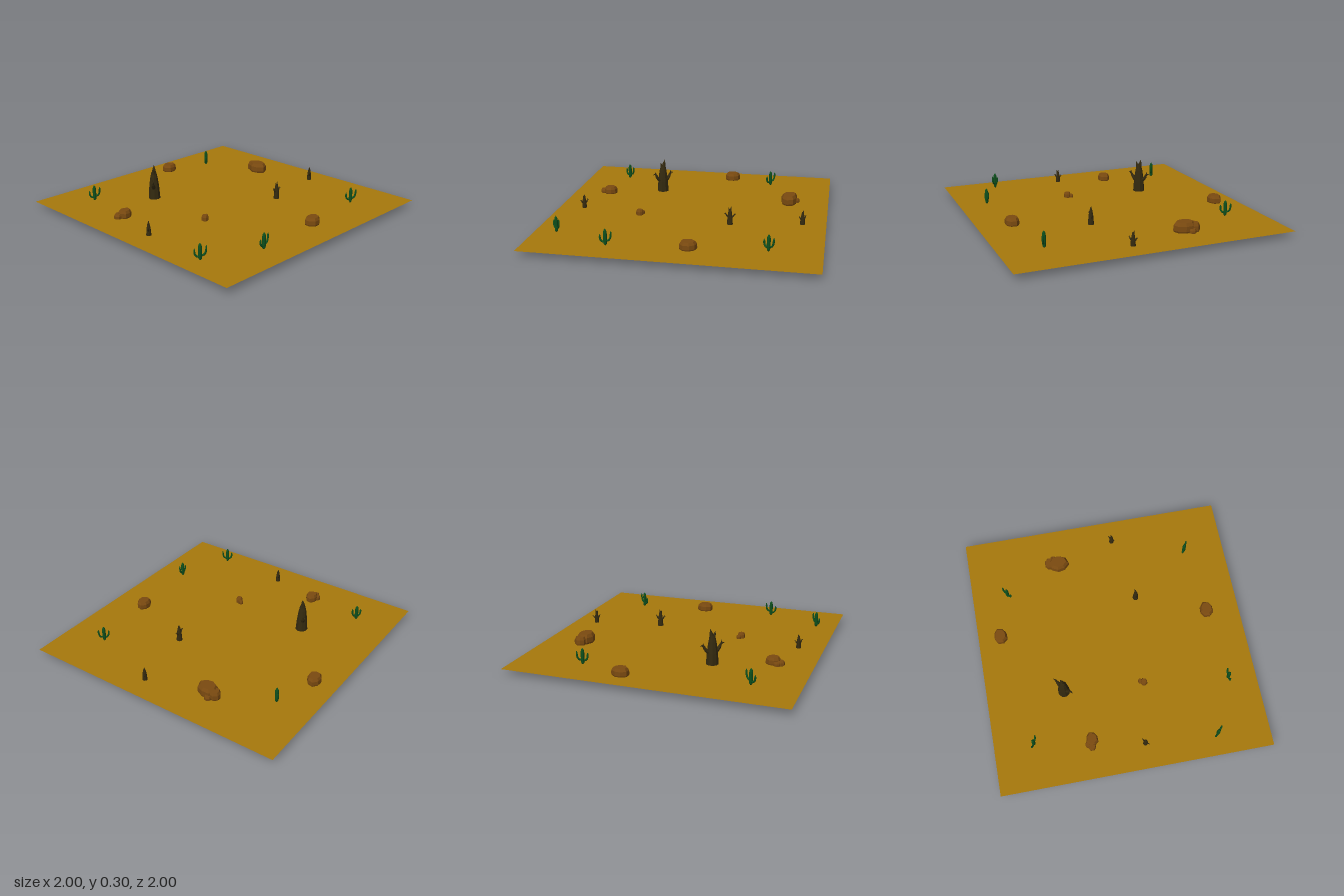
import * as THREE from 'three';

const mat = (color, extra = {}) =>
  new THREE.MeshStandardMaterial({ color, flatShading: true, ...extra });
const sand = mat(0xa6780c, { side: THREE.DoubleSide });
const stone = mat(0x7a4a10);
const bark = mat(0x33290f);
const green = mat(0x0d4f1c);

// Limb that follows points, with one radius for each evenly spaced ring
function limb(name, points, radii, sides, material) {
  const curve = new THREE.CatmullRomCurve3(points.map(p => new THREE.Vector3(...p)));
  const segs = radii.length - 1;
  const geo = new THREE.TubeGeometry(curve, segs, 1, sides);
  const pos = geo.attributes.position;
  const v = new THREE.Vector3();
  for (let i = 0; i <= segs; i++) {
    const c = curve.getPointAt(i / segs);
    for (let j = 0; j <= sides; j++) {
      const k = i * (sides + 1) + j;
      v.fromBufferAttribute(pos, k).sub(c).multiplyScalar(radii[i]).add(c);
      pos.setXYZ(k, v.x, v.y, v.z);
    }
  }
  geo.computeVertexNormals();
  const mesh = new THREE.Mesh(geo, material);
  mesh.name = name;
  return mesh;
}

// Cactus: stem with two upturned arms
function cactus(x, z, degrees) {
  const g = new THREE.Group();
  g.name = 'cactus';
  const arm = [0.006, 0.007, 0.007, 0.007, 0.007, 0.007, 0.006, 0];
  g.add(
    limb('cactusStem', [[0, 0, 0], [0, 0.06, 0], [0, 0.122, 0]],
      [0, 0.011, 0.012, 0.013, 0.013, 0.013, 0.013, 0.013, 0.012, 0.009, 0], 8, green),
    limb('cactusRightArm', [[0, 0.035, 0], [0.024, 0.04, 0], [0.036, 0.058, 0], [0.041, 0.107, 0]], arm, 6, green),
    limb('cactusLeftArm', [[0, 0.026, 0], [-0.022, 0.03, 0], [-0.034, 0.046, 0], [-0.036, 0.083, 0]], arm, 6, green));
  g.position.set(x, 0.04, z);
  g.rotation.y = THREE.MathUtils.degToRad(degrees);
  return g;
}

// Dead tree: broad trunk, splintered top and two forked branches
function deadTree(x, y, z, scale, degrees) {
  const g = new THREE.Group();
  g.name = 'deadTree';
  g.add(
    limb('trunk', [[0, 0, 0], [0, 0.1, 0], [0, 0.25, 0]],
      [0.048, 0.045, 0.042, 0.039, 0.034, 0.028, 0.018], 9, bark),
    limb('topSplinter', [[0, 0.2, 0], [0.006, 0.25, 0], [0.018, 0.3, 0]], [0.026, 0.019, 0.011, 0], 6, bark),
    limb('topSplinter', [[0, 0.2, 0], [-0.012, 0.245, 0], [-0.024, 0.282, 0]], [0.022, 0.016, 0.009, 0], 6, bark));
  for (const s of [-1, 1]) {
    const h = s > 0 ? 0 : 0.004;
    g.add(
      limb('branch', [[0, 0.115, 0], [s * 0.045, 0.145 + h, 0], [s * 0.064, 0.175 + h, 0], [s * 0.07, 0.205 + h, 0]],
        [0.022, 0.019, 0.015, 0.011, 0.006, 0], 6, bark),
      limb('twig', [[s * 0.056, 0.165 + h, 0], [s * 0.076, 0.185 + h, 0], [s * 0.093, 0.178 + h, 0]],
        [0.01, 0.008, 0.005, 0], 5, bark));
  }
  g.position.set(x, y, z);
  g.scale.setScalar(scale);
  g.rotation.y = THREE.MathUtils.degToRad(degrees);
  return g;
}

// Squat faceted rock with a bevelled, flat top
function rock(x, z, rx, rz, top, turn = 0.3) {
  const profile = [[0, 0], [0.88, 0], [1, 0.25], [0.98, 0.7], [0.76, 1], [0, 1]]
    .map(p => new THREE.Vector2(...p));
  const geo = new THREE.LatheGeometry(profile, 8);
  const pos = geo.attributes.position;
  for (let i = 0; i < pos.count; i++) {
    const a = Math.atan2(pos.getZ(i), pos.getX(i));
    const k = 1 + 0.06 * Math.sin(2 * a + turn * 5) + 0.04 * Math.cos(3 * a);
    pos.setX(i, pos.getX(i) * k);
    pos.setZ(i, pos.getZ(i) * k);
  }
  geo.rotateY(turn);
  geo.scale(rx, top - 0.035, rz);
  geo.computeVertexNormals();
  const mesh = new THREE.Mesh(geo, stone);
  mesh.name = 'rock';
  mesh.position.set(x, 0.035, z);
  return mesh;
}

export function createModel() {
  const model = new THREE.Group();
  model.name = 'desert';

  const ground = new THREE.Mesh(new THREE.PlaneGeometry(2, 2).rotateX(-Math.PI / 2), sand);
  ground.name = 'ground';
  ground.position.y = 0.043;
  model.add(ground);

  // x, z, heading
  for (const c of [[-0.845, 0.615, -43], [-0.67, -0.71, -27], [-0.44, 0.79, 3], [0.518, -0.73, 41], [0.64, 0.69, -30]])
    model.add(cactus(...c));

  // x, y, z, scale, heading
  for (const t of [[-0.32, 0, -0.43, 1, 41], [0.32, 0.035, 0.238, 0.47, 0],
    [-0.815, 0.028, 0.085, 0.4, 41], [0.83, 0.028, 0.145, 0.4, 41]])
    model.add(deadTree(...t));

  // x, z, half width, half depth, top
  for (const r of [
    [0.19, -0.83, 0.058, 0.052, 0.1], [0.113, 0.75, 0.058, 0.052, 0.1],
    [0.702, -0.3, 0.063, 0.075, 0.115, 0.6], [0.715, -0.365, 0.04, 0.045, 0.103], [0.757, -0.335, 0.022, 0.027, 0.072],
    [-0.718, -0.29, 0.049, 0.046, 0.097], [-0.77, -0.3, 0.03, 0.03, 0.075], [-0.75, -0.325, 0.024, 0.022, 0.07],
    [-0.363, 0.165, 0.026, 0.026, 0.083], [-0.35, 0.14, 0.018, 0.017, 0.068]])
    model.add(rock(...r));

  return model;
}
